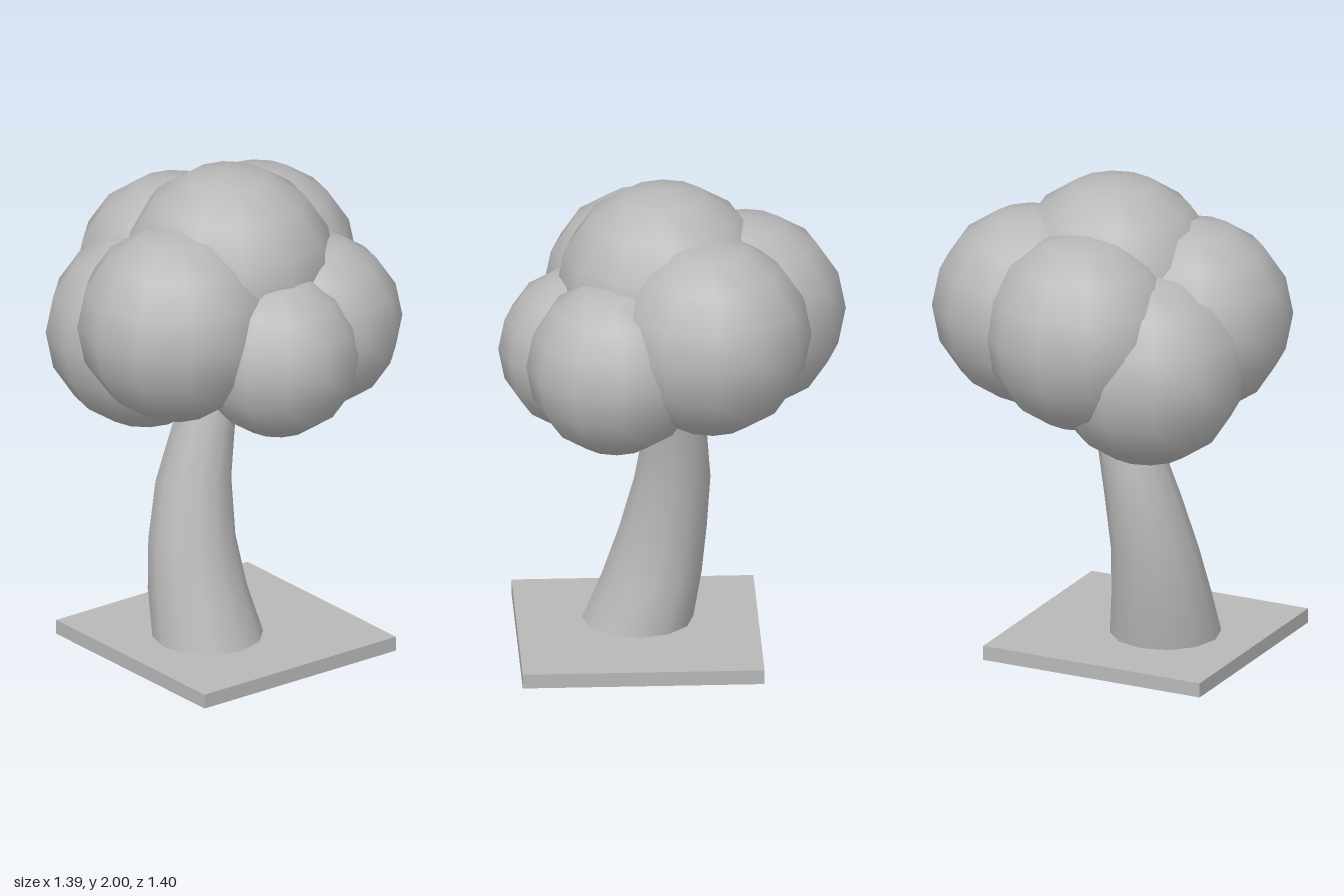
import * as THREE from 'three';
import { mergeVertices } from 'three/addons/utils/BufferGeometryUtils.js';

// Trunk stations: centre x, y, z and radius
const TRUNK = [
  [0.13, 0.05, 0.16, 0.225],
  [0.07, 0.25, 0.17, 0.2],
  [0.026, 0.45, 0.163, 0.176],
  [-0.01, 0.68, 0.127, 0.153],
  [-0.017, 0.88, 0.075, 0.13],
  [-0.01, 1.02, 0.03, 0.113],
  [0, 1.18, -0.02, 0.095],
];

// Foliage balls: name, centre and radius
const FOLIAGE = [
  ['foliageTop', 0.03, 1.565, -0.02, 0.435],
  ['foliageBack', -0.146, 1.475, -0.3, 0.403],
  ['foliageLeftSide', 0.36, 1.31, -0.015, 0.335],
  ['foliageRightSide', -0.297, 1.457, 0, 0.403],
  ['foliageFront', 0.1, 1.442, 0.3, 0.4],
  ['foliageFrontRight', -0.183, 1.31, 0.238, 0.402],
  ['foliageBackLeft', 0.236, 1.347, -0.29, 0.36],
];

function trunkGeometry() {
  const last = TRUNK.length - 1;
  let geometry = new THREE.CylinderGeometry(1, 1, 1, 12, last, true);
  const p = geometry.attributes.position;
  // Move each ring of the cylinder to its station
  for (let i = 0; i < p.count; i++) {
    const [x, y, z, r] = TRUNK[Math.round((p.getY(i) + 0.5) * last)];
    p.setXYZ(i, x + p.getX(i) * r, y, z + p.getZ(i) * r);
  }
  geometry.deleteAttribute('uv');
  geometry.deleteAttribute('normal');
  geometry = mergeVertices(geometry, 1e-4);
  geometry.computeVertexNormals();
  return geometry;
}

export function createModel() {
  const tree = new THREE.Group();
  tree.name = 'tree';
  const grey = new THREE.MeshStandardMaterial({ color: 0xb8b8b8 });
  grey.name = 'plainGrey';

  const add = (name, geometry, x = 0, y = 0, z = 0) => {
    const mesh = new THREE.Mesh(geometry, grey);
    mesh.name = name;
    mesh.position.set(x, y, z);
    tree.add(mesh);
  };

  // Square ground plate
  add('groundPlate', new THREE.BoxGeometry(0.97, 0.06, 0.97), 0.13, 0.03, 0.07);

  // Leaning, tapering trunk
  add('trunk', trunkGeometry());

  // Overlapping balls of the crown
  for (const [name, x, y, z, r] of FOLIAGE) {
    add(name, new THREE.SphereGeometry(r, 12, 8), x, y, z);
  }
  return tree;
}
